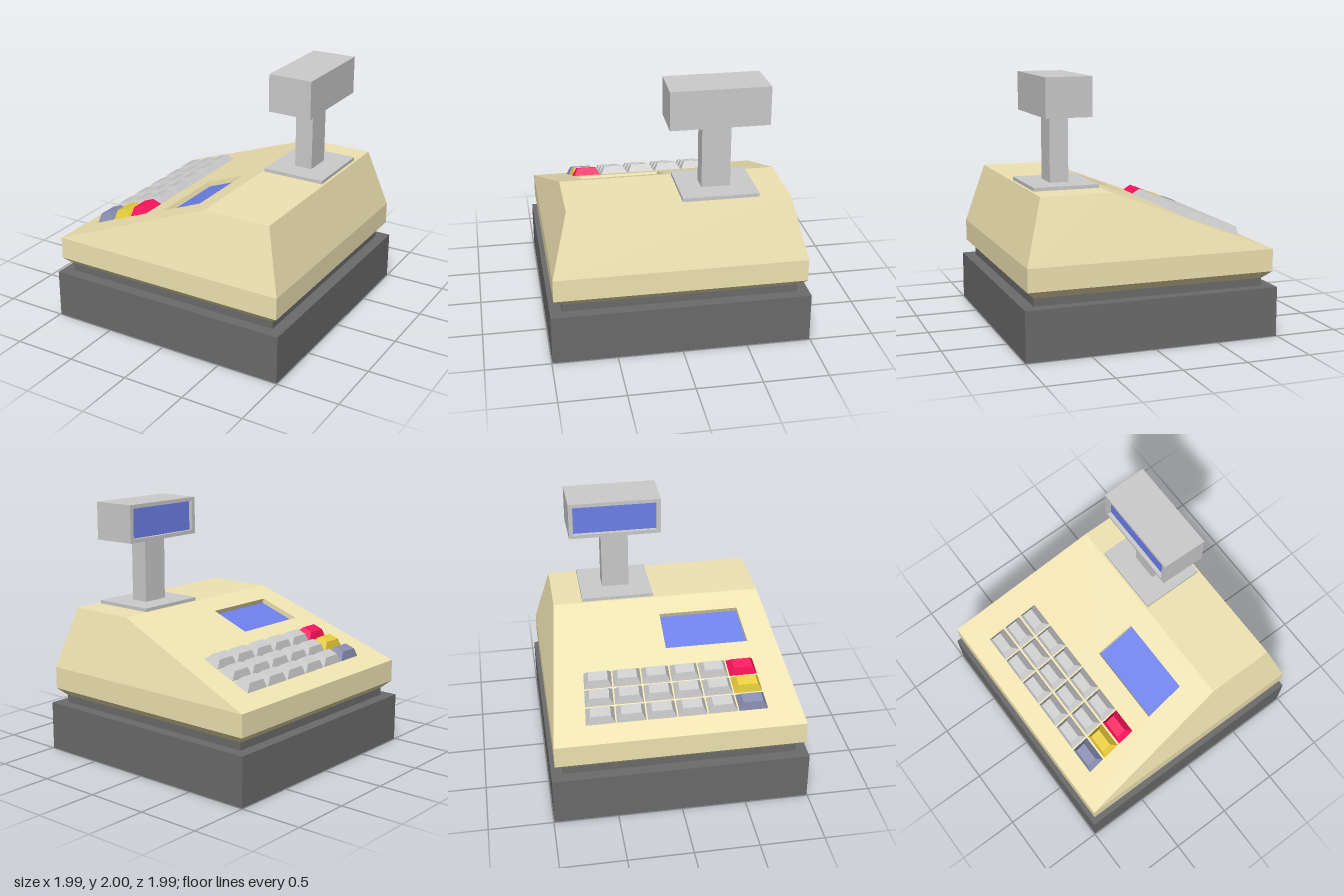
import * as THREE from 'three';

const mat = (color) => new THREE.MeshStandardMaterial({ color, flatShading: true });

// Flat-shaded mesh from four-cornered faces
function quadMesh(name, quads, material) {
  const pos = quads.flatMap(([a, b, c, d]) => [a, b, c, a, c, d]).flat();
  const geo = new THREE.BufferGeometry();
  geo.setAttribute('position', new THREE.Float32BufferAttribute(pos, 3));
  geo.computeVertexNormals();
  const mesh = new THREE.Mesh(geo, material);
  mesh.name = name;
  return mesh;
}

// Faces joining successive four-cornered rings
function loft(rings) {
  const quads = [];
  for (let i = 0; i + 1 < rings.length; i++) {
    for (let j = 0; j < 4; j++) {
      const k = (j + 1) % 4;
      quads.push([rings[i][j], rings[i][k], rings[i + 1][k], rings[i + 1][j]]);
    }
  }
  return quads;
}

// Box given by its limits
function box(name, [x0, x1], [y0, y1], [z0, z1], material) {
  const mesh = new THREE.Mesh(new THREE.BoxGeometry(x1 - x0, y1 - y0, z1 - z0), material);
  mesh.position.set((x0 + x1) / 2, (y0 + y1) / 2, (z0 + z1) / 2);
  mesh.name = name;
  return mesh;
}

// Body limits and the sloping keyboard panel
const W = 0.967, LOW = 0.68, TOP = 1.165, RIDGE = 0.29, BACK = 0.83, TOPW = 0.84;
const tilt = Math.atan2(TOP - LOW, RIDGE + W);

// Point on the panel: v runs -1..1 across the tapering width, n is height off the panel
function panel(x, v, n = 0) {
  const t = (x + W) / (RIDGE + W);
  return [
    x - n * Math.sin(tilt),
    LOW + t * (TOP - LOW) + n * Math.cos(tilt),
    v * (W + t * (TOPW - W)),
  ];
}
const panelRing = (x0, x1, v0, v1, n) =>
  [panel(x0, v1, n), panel(x1, v1, n), panel(x1, v0, n), panel(x0, v0, n)];
const levelRing = (y, x0, x1, z) => [[x0, y, z], [x1, y, z], [x1, y, -z], [x0, y, -z]];

export function createModel() {
  const group = new THREE.Group();
  const grey = mat(0xcccccc), dark = mat(0x6b6b6b), cream = mat(0xf0e4b2), blue = mat(0x6d80ec);

  // Drawer base and neck
  group.add(box('drawerBase', [-0.995, 0.995], [0, 0.385], [-0.995, 0.995], dark));
  group.add(box('neck', [-0.905, 0.905], [0.38, 0.447], [-0.905, 0.905], dark));

  // Body: chamfer, upright band, sloping walls, top and panel with a recess
  const rim = levelRing(LOW, -W, W, W), roof = levelRing(TOP, RIDGE, BACK, TOPW);
  const opening = [-0.2, 0.12, 0, 0.743];
  const floor = panelRing(...opening, -0.04);
  group.add(quadMesh('body', [
    ...loft([levelRing(0.445, -0.905, 0.905, 0.905), levelRing(0.505, -W, W, W), rim]),
    ...loft([rim, roof]).slice(0, 3),
    roof,
    ...loft([panelRing(-W, RIDGE, -1, 1, 0), panelRing(...opening, 0), floor]),
  ], cream));
  group.add(quadMesh('panelScreen', [floor], blue));

  // Keys: three columns of six, the last row coloured
  const keys = new THREE.Group();
  keys.name = 'keys';
  const accents = [mat(0x888db0), mat(0xe8cc3a), mat(0xff145d)];
  for (let c = 0; c < 3; c++) {
    for (let r = 0; r < 6; r++) {
      const x = -0.806 + 0.153 * c, v = -0.745 + 0.248 * r;
      const cap = panelRing(x + 0.031, x + 0.108, v + 0.036, v + 0.2, 0.06);
      const base = panelRing(x, x + 0.138, v, v + 0.236, 0);
      keys.add(quadMesh('key', [...loft([base, cap]), cap], r === 5 ? accents[c] : grey));
    }
  }
  group.add(keys);

  // Customer display: foot plate, post and head
  group.add(box('displayPlate', [0.305, 0.81], [TOP - 0.005, 1.192], [-0.605, -0.025], grey));
  group.add(box('displayPost', [0.485, 0.63], [1.185, 1.71], [-0.42, -0.2], grey));
  const headRing = (x, y0, y1, z0, z1) => [[x, y0, z0], [x, y0, z1], [x, y1, z1], [x, y1, z0]];
  const rear = headRing(0.738, 1.703, 2, -0.688, 0.062);
  const inset = [1.733, 1.97, -0.648, 0.02];
  const glass = headRing(0.41, ...inset);
  group.add(quadMesh('displayHead', [
    [...rear].reverse(),
    ...loft([rear, headRing(0.38, 1.703, 2, -0.682, 0.054), headRing(0.38, ...inset), glass]),
  ], grey));
  group.add(quadMesh('displayScreen', [glass], blue));

  return group;
}
